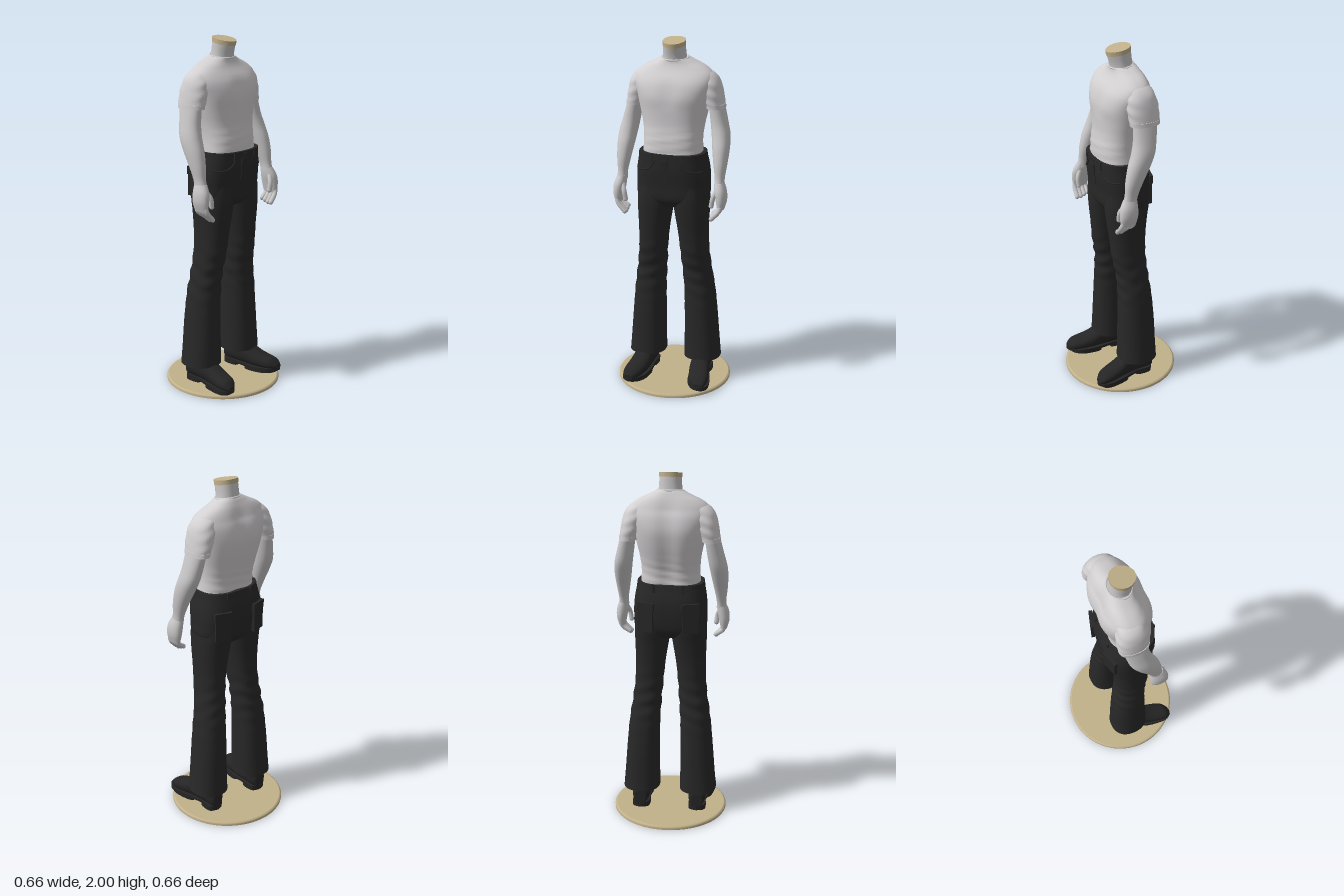
import * as THREE from 'three';

const mat = (name, color) => Object.assign(new THREE.MeshStandardMaterial({ color }), { name });

// Smooth loft through sections [t, lo, hi, zLo, zHi] in ascending t.
// axis 'y': t = y and lo/hi bound x.  axis 'x': t = x and lo/hi bound y.
function loft(secs, { axis = 'y', side = 1, n = 2.2, seg = 40, sub = 5, warp } = {}) {
  const S = side > 0 ? secs : secs.map(([t, a, b, c, d]) => [t, a, b, -d, -c]);
  const rows = [];
  for (let i = 0; i < S.length - 1; i++) {
    const p = [S[Math.max(i - 1, 0)], S[i], S[i + 1], S[Math.min(i + 2, S.length - 1)]];
    for (let k = 0; k < sub + (i === S.length - 2 ? 1 : 0); k++) {
      const f = k / sub;
      rows.push(S[0].map((_, c) => 0.5 * (2 * p[1][c] + (p[2][c] - p[0][c]) * f
        + (2 * p[0][c] - 5 * p[1][c] + 4 * p[2][c] - p[3][c]) * f * f
        + (3 * p[1][c] - p[0][c] - 3 * p[2][c] + p[3][c]) * f * f * f)));
    }
  }
  const pos = [], idx = [];
  const pw = (v) => Math.sign(v) * Math.abs(v) ** (2 / n);
  const put = ([t, a0, a1, z0, z1], ang, r = 1) => {
    const c = pw(Math.cos(ang)) * r, s = pw(Math.sin(ang)) * r;
    const mid = (a0 + a1) / 2, ra = (a1 - a0) / 2, cz = (z0 + z1) / 2, rz = (z1 - z0) / 2;
    const v = axis === 'y'
      ? new THREE.Vector3(mid + ra * s, t, cz + rz * c)
      : new THREE.Vector3(t, mid + ra * c, cz + rz * s);
    if (warp) warp(v);
    pos.push(v.x, v.y, v.z);
  };
  const ring = (row) => { for (let i = 0; i < seg; i++) put(row, (i / seg) * Math.PI * 2); };
  rows.forEach(ring);
  for (let j = 0; j < rows.length - 1; j++) {
    for (let i = 0; i < seg; i++) {
      const a = j * seg + i, b = j * seg + (i + 1) % seg;
      idx.push(a, b, a + seg, b, b + seg, a + seg);
    }
  }
  // end caps
  [rows[0], rows[rows.length - 1]].forEach((row, end) => {
    const o = pos.length / 3;
    ring(row);
    put(row, 0, 0);
    for (let i = 0; i < seg; i++) {
      const a = o + i, b = o + (i + 1) % seg;
      if (end) idx.push(a, b, o + seg); else idx.push(b, a, o + seg);
    }
  });
  const g = new THREE.BufferGeometry();
  g.setAttribute('position', new THREE.Float32BufferAttribute(pos, 3));
  g.setIndex(idx);
  g.computeVertexNormals();
  return g;
}

export function createModel() {
  const model = new THREE.Group();
  const shirt = mat('shirt grey', 0xd3d0d2), skin = mat('skin grey', 0xc9c7c8);
  const denim = mat('trouser black', 0x282829), leather = mat('shoe black', 0x252526);
  const tan = mat('tan', 0xc2b18b), felt = mat('stand underside', 0x6a6656);
  const add = (name, geo, m, parent = model) => {
    const mesh = new THREE.Mesh(geo, m);
    mesh.name = name;
    parent.add(mesh);
    return mesh;
  };
  const tube = (pts, r, seg = 14) => new THREE.TubeGeometry(
    new THREE.CatmullRomCurve3(pts.map((p) => new THREE.Vector3(...p))), seg, r, 8);

  // round stand with softened top edge and dark underside
  add('stand', new THREE.LatheGeometry([[0.33, 0], [0.33, 0.011], [0.327, 0.016],
    [0.32, 0.02], [0.32, 0.02], [0, 0.02]].map(([x, y]) => new THREE.Vector2(x, y)), 80), tan);
  add('standUnderside', new THREE.CircleGeometry(0.33, 80).rotateX(Math.PI / 2), felt);

  // shirt body with a spine hollow, chest and soft folds near the waist
  add('shirtBody', loft([
    [1.37, -0.095, 0.15, -0.168, 0.168], [1.45, -0.1, 0.148, -0.163, 0.163],
    [1.53, -0.118, 0.137, -0.17, 0.17], [1.61, -0.137, 0.138, -0.187, 0.187],
    [1.69, -0.148, 0.143, -0.204, 0.204], [1.76, -0.138, 0.125, -0.222, 0.222],
    [1.81, -0.117, 0.094, -0.215, 0.215], [1.845, -0.1, 0.072, -0.175, 0.175],
    [1.872, -0.083, 0.06, -0.118, 0.118], [1.895, -0.068, 0.056, -0.073, 0.073],
  ], { n: 2.45, seg: 64, warp: (v) => {
    const c = Math.exp(-((v.z / 0.05) ** 2));
    if (v.x < -0.04) v.x += 0.014 * c * THREE.MathUtils.clamp((1.88 - v.y) / 0.08, 0, 1);
    if (v.x > 0.04 && v.y > 1.62 && v.y < 1.8) v.x -= 0.008 * c * Math.sin((v.y - 1.62) / 0.18 * Math.PI);
    const low = THREE.MathUtils.clamp((1.55 - v.y) / 0.12, 0, 1);
    v.x += 0.003 * low * Math.sin(v.y * 130 + v.z * 18);
    v.y -= 0.15 * v.x * THREE.MathUtils.clamp((v.y - 1.8) / 0.08, 0, 1);
  } }), shirt);
  const collar = add('collar', new THREE.TorusGeometry(1, 0.08, 8, 48), shirt);
  collar.geometry.rotateX(Math.PI / 2).scale(0.063, 0.07, 0.073);
  collar.position.set(-0.006, 1.893, 0);
  collar.rotation.z = -0.15;

  // neck with slanted cut and tan cap
  const egg = (v) => {
    if (v.x > 0.02) v.z *= 1 - (v.x - 0.02) * 3;
    v.y -= 0.19 * (v.x - 0.012);
  };
  add('neck', loft([[1.84, -0.072, 0.06, -0.078, 0.078], [1.9, -0.062, 0.058, -0.064, 0.064],
    [1.962, -0.055, 0.073, -0.061, 0.061]], { warp: egg }), skin);
  add('neckCap', loft([[1.962, -0.056, 0.077, -0.063, 0.063], [1.987, -0.055, 0.081, -0.063, 0.063]],
    { warp: egg, sub: 1 }), tan);

  // trouser seat and waistband
  add('trouserSeat', loft([
    [1.075, -0.08, 0.11, -0.1, 0.1], [1.12, -0.113, 0.142, -0.195, 0.195],
    [1.2, -0.126, 0.149, -0.205, 0.205], [1.29, -0.126, 0.16, -0.201, 0.201],
    [1.385, -0.103, 0.16, -0.183, 0.183],
  ], { n: 2.8, seg: 56 }), denim);
  add('waistband', loft([[1.35, -0.114, 0.166, -0.191, 0.191], [1.385, -0.106, 0.165, -0.187, 0.187]],
    { n: 2.7, seg: 56, sub: 1 }), denim);
  const box = (name, w, h, d, x, y, z) => {
    const b = add(name, new THREE.BoxGeometry(w, h, d), denim);
    b.position.set(x, y, z);
    return b;
  };
  box('flyFlap', 0.01, 0.12, 0.035, 0.158, 1.29, 0.01).rotation.z = -0.1;
  box('waistButton', 0.01, 0.018, 0.018, 0.165, 1.368, 0);
  // x of the seat front at a given z
  const seatFront = (z) => 0.017 + 0.143 * (1 - (z / 0.2) ** 2.8) ** (1 / 2.8);

  for (const side of [1, -1]) {
    const tag = side > 0 ? 'left' : 'right';
    const L = (secs, o = {}) => loft(secs, { side, ...o });

    // flared trouser leg with soft creases around the knee
    add(tag + 'TrouserLeg', L([
      [0.135, -0.136, 0.094, 0.06, 0.272], [0.25, -0.13, 0.09, 0.062, 0.262],
      [0.4, -0.124, 0.086, 0.062, 0.25], [0.55, -0.112, 0.083, 0.06, 0.236],
      [0.68, -0.096, 0.086, 0.052, 0.217], [0.8, -0.086, 0.108, 0.043, 0.203],
      [0.92, -0.087, 0.12, 0.03, 0.2], [1.03, -0.098, 0.133, 0.012, 0.203],
      [1.12, -0.113, 0.14, 0, 0.203], [1.2, -0.118, 0.138, 0.005, 0.195],
    ], { n: 2.3, sub: 8, warp: (v) => {
      const w = Math.exp(-(((v.y - 0.68) / 0.14) ** 2));
      v.x += 0.004 * w * Math.sin(v.y * 75 + v.z * side * 22);
      v.z += 0.003 * w * Math.sin(v.y * 60 + v.x * 30);
      if (v.y < 0.3) v.y += 0.06 * Math.max(v.x, 0) * (0.3 - v.y) / 0.16;
    } }), denim);

    // back pocket, its flap, front pocket welt and belt loops
    box(tag + 'BackPocket', 0.02, 0.13, 0.09, -0.113, 1.185, side * 0.125).rotation.y = side * 0.3;
    box(tag + 'PocketFlap', 0.02, 0.045, 0.1, -0.116, 1.265, side * 0.125).rotation.y = side * 0.3;
    add(tag + 'FrontPocket', tube([[0.07, 1.35], [0.095, 1.312], [0.13, 1.292], [0.165, 1.288], [0.185, 1.292]]
      .map(([z, y]) => [seatFront(z), y, side * z]), 0.005), denim);
    box(tag + 'FrontLoop', 0.01, 0.045, 0.014, 0.16, 1.366, side * 0.08);
    box(tag + 'BackLoop', 0.01, 0.045, 0.014, -0.107, 1.366, side * 0.08);

    // sleeve and hem
    add(tag + 'Sleeve', L([
      [1.63, -0.108, 0.056, 0.178, 0.278], [1.69, -0.113, 0.064, 0.155, 0.27],
      [1.75, -0.108, 0.064, 0.13, 0.258], [1.79, -0.096, 0.055, 0.11, 0.241],
      [1.82, -0.08, 0.04, 0.1, 0.211], [1.84, -0.055, 0.015, 0.1, 0.17],
    ], { warp: (v) => { v.x += 0.002 * Math.sin(v.y * 110 + v.z * side * 40); } }), shirt);
    add(tag + 'SleeveHem', L([[1.627, -0.11, 0.058, 0.176, 0.28], [1.65, -0.111, 0.06, 0.171, 0.278]],
      { sub: 1 }), shirt);

    // bent arm
    add(tag + 'Arm', L([
      [1.215, 0.052, 0.13, 0.252, 0.308], [1.26, 0.042, 0.118, 0.252, 0.306],
      [1.33, 0.012, 0.112, 0.24, 0.314], [1.41, -0.03, 0.095, 0.226, 0.319],
      [1.48, -0.062, 0.07, 0.215, 0.315], [1.55, -0.078, 0.052, 0.204, 0.298],
      [1.65, -0.095, 0.045, 0.19, 0.272],
    ]), skin);
    // hand: palm, curled fingers and thumb
    const hand = new THREE.Group();
    hand.name = tag + 'Hand';
    model.add(hand);
    add('palm', L([[1.09, 0.062, 0.15, 0.276, 0.312], [1.14, 0.05, 0.155, 0.266, 0.325],
      [1.19, 0.048, 0.15, 0.256, 0.322], [1.235, 0.05, 0.128, 0.254, 0.306]], { seg: 24 }), skin, hand);
    for (let i = 0; i < 4; i++) {
      const x = 0.07 + i * 0.022, tip = 1.055 - 0.008 * Math.min(i, 2);
      const end = [x + 0.012, tip, side * 0.25];
      add('finger', tube([[x, 1.125, side * 0.3], [x + 0.008, 1.085, side * 0.29], end], 0.0135), skin, hand);
      add('fingertip', new THREE.SphereGeometry(0.0135, 10, 8), skin, hand).position.set(...end);
    }
    const thumbEnd = [0.138, 1.11, side * 0.247];
    add('thumb', tube([[0.115, 1.2, side * 0.272], [0.138, 1.155, side * 0.255], thumbEnd], 0.014), skin, hand);
    add('thumbTip', new THREE.SphereGeometry(0.014, 10, 8), skin, hand).position.set(...thumbEnd);

    // shoe upper
    add(tag + 'ShoeUpper', L([
      [-0.112, 0.04, 0.13, 0.135, 0.2], [-0.09, 0.04, 0.16, 0.118, 0.213],
      [-0.02, 0.04, 0.17, 0.115, 0.217], [0.06, 0.04, 0.163, 0.117, 0.228],
      [0.12, 0.04, 0.132, 0.122, 0.24], [0.18, 0.04, 0.112, 0.135, 0.25],
      [0.222, 0.04, 0.1, 0.153, 0.248], [0.252, 0.045, 0.07, 0.185, 0.233],
    ], { axis: 'x', n: 2.3 }), leather);
    // sole plates cut from one outline
    const sole = (name, pts, y, h) => {
      const shape = new THREE.Shape();
      shape.setFromPoints(new THREE.SplineCurve(pts.concat([pts[0]])
        .map(([x, z]) => new THREE.Vector2(x, -side * z))).getPoints(48).slice(0, -1));
      const g = new THREE.ExtrudeGeometry(shape, { depth: h, bevelEnabled: false });
      add(tag + name, g.rotateX(-Math.PI / 2).translate(0, y, 0), leather);
    };
    sole('Welt', [[-0.115, 0.165], [-0.09, 0.118], [0, 0.12], [0.1, 0.116], [0.19, 0.132], [0.238, 0.168],
      [0.258, 0.21], [0.238, 0.244], [0.19, 0.256], [0.1, 0.24], [0, 0.212], [-0.09, 0.213]], 0.036, 0.016);
    sole('Heel', [[-0.113, 0.165], [-0.09, 0.12], [-0.01, 0.12], [0, 0.165], [-0.01, 0.21], [-0.09, 0.212]],
      0.018, 0.02);
    sole('BallSole', [[0.05, 0.17], [0.07, 0.12], [0.16, 0.127], [0.215, 0.158], [0.236, 0.205],
      [0.22, 0.24], [0.17, 0.25], [0.07, 0.228]], 0.02, 0.018);
  }
  return model;
}
